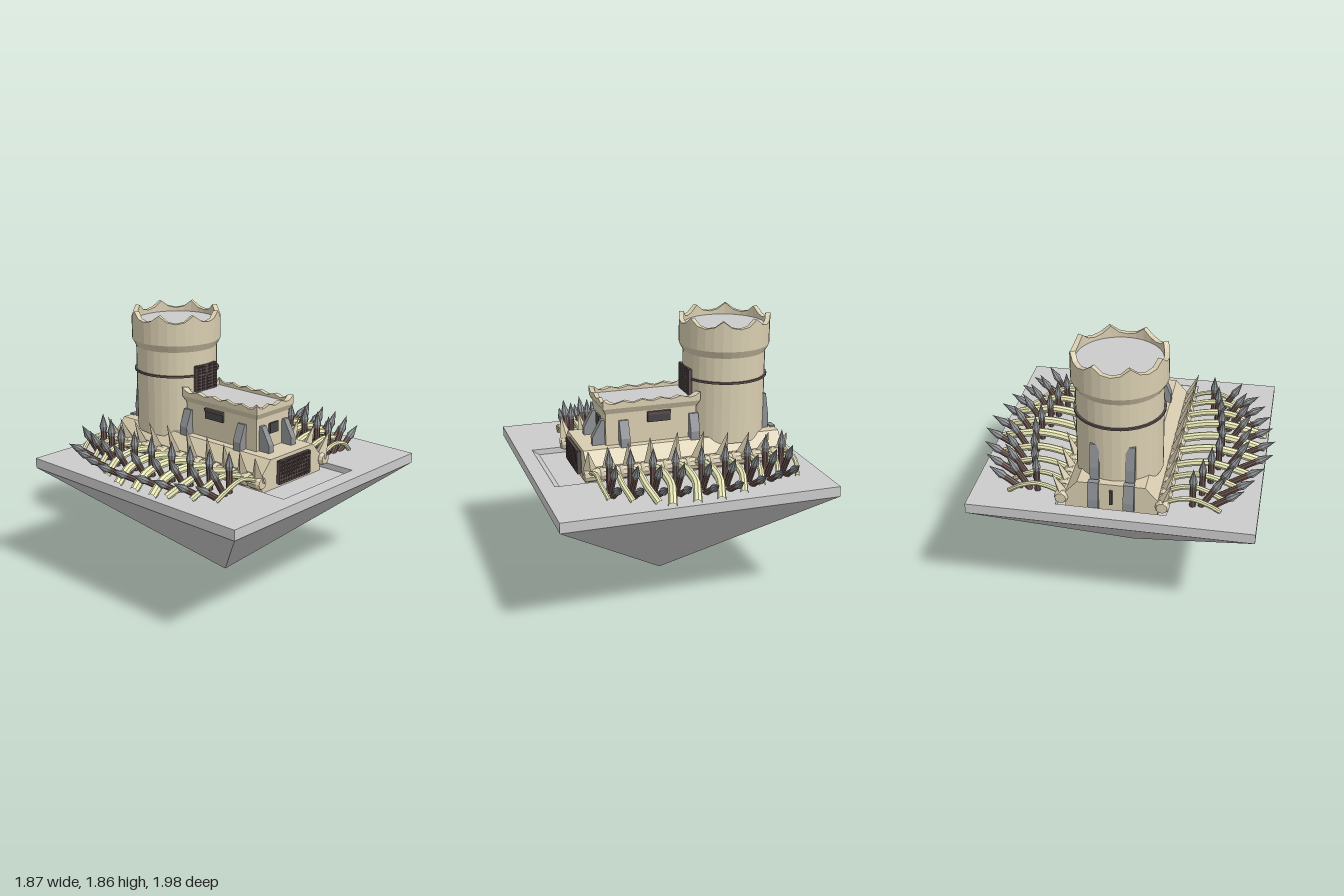
import * as THREE from 'three';

const mat = (color, extra = {}) => new THREE.MeshStandardMaterial({ color, flatShading: true, ...extra });
const GREY = mat(0xcccccc);
const STONE = mat(0xd8cdb0);
const STONE_OPEN = mat(0xd8cdb0, { side: THREE.DoubleSide });
const STEEL = mat(0x8e9194);
const WOOD = mat(0x6b5550);
const BONE = mat(0xe9e8b6);
const IRON = mat(0x5c4f4e);
const DARK = mat(0x454545);

const V = (x, y, z) => new THREE.Vector3(x, y, z);

export function createModel() {
  const model = new THREE.Group();

  const add = (name, geometry, material, x = 0, y = 0, z = 0, parent = model) => {
    const mesh = new THREE.Mesh(geometry, material);
    mesh.name = name;
    mesh.position.set(x, y, z);
    parent.add(mesh);
    return mesh;
  };
  // box given by its extents
  const box = (name, material, x0, x1, y0, y1, z0, z1, parent) =>
    add(name, new THREE.BoxGeometry(x1 - x0, y1 - y0, z1 - z0), material,
      (x0 + x1) / 2, (y0 + y1) / 2, (z0 + z1) / 2, parent);
  const polygon = (pts) => new THREE.Shape(pts.map(([x, y]) => new THREE.Vector2(x, y)));
  // prism with its profile in x-y, centred on z
  const prism = (pts, depth) => new THREE.ExtrudeGeometry(polygon(pts), { depth, bevelEnabled: false })
    .translate(0, 0, -depth / 2);
  const lathe = (pts, sides) => new THREE.LatheGeometry(pts.map(([r, y]) => new THREE.Vector2(r, y)), sides);
  // stands an upright mesh at one point, leaning toward another
  const aim = (mesh, from, to) => {
    mesh.position.copy(from);
    mesh.quaternion.setFromUnitVectors(V(0, 1, 0), to.clone().sub(from).normalize());
    return mesh;
  };

  // ground plate with a shallow pit, on an inverted pyramid
  const H = 0.933;
  const plate = polygon([[-H, -H], [H, -H], [H, H], [-H, H]]);
  plate.holes.push(polygon([[-0.83, -0.36], [-0.83, 0.36], [0.83, 0.36], [0.83, -0.36]]));
  const plateGeo = new THREE.ExtrudeGeometry(plate, { depth: 0.07, bevelEnabled: false });
  add('groundPlate', plateGeo.rotateX(-Math.PI / 2), GREY, 0, 0.8, 0);
  add('invertedPyramid', new THREE.ConeGeometry(H * Math.SQRT2, 0.8, 4).rotateY(Math.PI / 4).rotateX(Math.PI),
    GREY, 0, 0.4, 0);
  box('pitFloor', GREY, -0.83, 0.83, 0.8, 0.83, -0.36, 0.36);
  add('pitRamp', prism([[0.78, 0.83], [0.83, 0.83], [0.83, 0.869]], 0.72), GREY);

  // lower hull with sloping shoulders
  add('lowerHull', prism([[-0.3, 0.83], [0.3, 0.83], [0.3, 0.95], [0.22, 1.04], [-0.22, 1.04], [-0.3, 0.95]], 1.4)
    .rotateY(Math.PI / 2), STONE, -0.1, 0, 0);

  // round tower with a scalloped parapet
  const TX = -0.468;
  const towerGeo = lathe([[0.285, 1.0], [0.285, 1.6], [0.312, 1.65], [0.312, 1.8], [0.278, 1.8], [0.278, 1.74]], 32);
  const tp = towerGeo.attributes.position;
  for (let i = 0; i < tp.count; i++) {
    if (Math.abs(tp.getY(i) - 1.8) < 1e-4) {
      const ring = Math.floor(i / 6);
      tp.setY(i, 1.8 + [0, 0.012, 0.055, 0.012][ring % 4]);
    }
  }
  add('tower', towerGeo, STONE_OPEN, TX);
  add('towerRoof', new THREE.CylinderGeometry(0.28, 0.28, 0.03, 32), GREY, TX, 1.76, 0);
  add('towerBand', new THREE.CylinderGeometry(0.298, 0.298, 0.014, 32), IRON, TX, 1.43, 0);

  // upper hall: lofted rectangle with flared, wavy parapet
  const HX = 0.11, hallHalfX = 0.32, hallHalfZ = 0.165, NX = 20, NZ = 12;
  const loop = [];
  const wave = (k, n) => (k === 0 ? 0.032 : [0.018, 0.008, 0, 0.008][k % 4]);
  for (const [n, at] of [[NX, (t) => [-1 + 2 * t, 1]], [NZ, (t) => [1, 1 - 2 * t]],
    [NX, (t) => [1 - 2 * t, -1]], [NZ, (t) => [-1, -1 + 2 * t]]]) {
    for (let k = 0; k < n; k++) loop.push([...at(k / n), wave(k, n)]);
  }
  const rings = [[0, 1.0, 0], [0, 1.26, 0], [0.021, 1.3, 0], [0.021, 1.33, 1], [-0.008, 1.33, 1], [-0.008, 1.3, 0]];
  const pos = [], idx = [], N = loop.length;
  rings.forEach(([o, y, w], r) => loop.forEach(([u, v, h], k) => {
    pos.push(HX + u * (hallHalfX + o), y + w * h, v * (hallHalfZ + o));
    if (r < rings.length - 1) {
      const a = r * N + k, b = r * N + (k + 1) % N;
      idx.push(a, b, b + N, a, b + N, a + N);
    }
  }));
  const hallGeo = new THREE.BufferGeometry();
  hallGeo.setAttribute('position', new THREE.Float32BufferAttribute(pos, 3));
  hallGeo.setIndex(idx);
  hallGeo.computeVertexNormals();
  add('upperHall', hallGeo, STONE_OPEN);
  box('hallRoof', GREY, HX - 0.315, HX + 0.315, 1.29, 1.315, -0.16, 0.16);

  // slit windows
  for (const s of [1, -1]) {
    add('sideWindow', new THREE.BoxGeometry(0.16, 0.07, 0.03), DARK, 0.06, 1.215, s * 0.165);
    add('windowHood', new THREE.BoxGeometry(0.165, 0.02, 0.04), IRON, 0.06, 1.243, s * 0.168);
  }
  box('endWindow', DARK, 0.42, 0.445, 1.14, 1.21, -0.042, 0.042);
  box('rearSlit', DARK, -0.82, -0.79, 0.9, 1.0, -0.01, 0.01);

  // steel buttresses with sloped fronts, pointing outward along the given turn
  const buttress = (x, z, turn, width, y0, y1, out) => {
    const geo = prism([[-0.03, y0], [out, y0], [out, y0 + (y1 - y0) * 0.45], [out * 0.25, y1], [-0.03, y1]], width);
    add('buttress', geo, STEEL, x, 0, z).rotation.y = turn;
  };
  for (const s of [1, -1]) {
    for (const x of [-0.187, 0.308]) buttress(x, s * 0.165, -s * Math.PI / 2, 0.065, 1.0, 1.21, 0.06);
    buttress(0.43, s * 0.115, 0, 0.045, 1.0, 1.21, 0.085);
    buttress(-0.725, s * 0.115, Math.PI, 0.06, 1.0, 1.29, 0.03);
    buttress(-0.8, s * 0.115, Math.PI, 0.07, 0.83, 1.05, 0.03);
  }

  // lattice doors facing +x
  const lattice = (name, x, y0, y1, half, back, cols, rows) => {
    const g = new THREE.Group();
    g.name = name;
    model.add(g);
    box('panel', DARK, x - back, x - 0.014, y0, y1, -half, half, g);
    for (let i = 0; i <= cols; i++) {
      const z = -half + (2 * half * i) / cols;
      box('upright', IRON, x - 0.02, x, y0, y1, z - 0.006, z + 0.006, g);
    }
    for (let j = 0; j <= rows; j++) {
      const y = y0 + ((y1 - y0) * j) / rows;
      box('crossbar', IRON, x - 0.02, x - 0.002, y - 0.005, y + 0.005, -half, half, g);
    }
  };
  lattice('gate', 0.63, 0.86, 1.015, 0.155, 0.06, 12, 6);
  lattice('towerDoor', -0.175, 1.32, 1.495, 0.1, 0.1, 9, 8);

  // side rollers, fangs and curved ribs
  const ribX = [-0.765, -0.63, -0.485, -0.335, -0.16, 0, 0.165, 0.315, 0.455, 0.585];
  const reach = [0.69, 0.69, 0.77, 0.845, 0.91, 0.91, 0.91, 0.845, 0.77, 0.69];
  const ribR = [0.016, 0.018, 0.021, 0.025, 0.029, 0.029, 0.029, 0.025, 0.021, 0.016];
  const edge = (i) => (i === 0 ? -0.82 : i === 10 ? 0.628 : (ribX[i - 1] + ribX[i]) / 2);
  // pikes: shaft plus double-cone point
  const pikeX = [-0.695, -0.56, -0.415, -0.245, -0.08, 0.09, 0.235, 0.375, 0.505];
  const pikeZ = [0.51, 0.555, 0.595, 0.628, 0.63, 0.61, 0.588, 0.555, 0.512];
  const pike = (from, to, parent) => {
    const len = from.distanceTo(to), g = new THREE.Group();
    g.name = 'pike';
    add('shaft', new THREE.CylinderGeometry(0.021, 0.021, len - 0.1, 8), WOOD, 0, (len - 0.1) / 2, 0, g);
    add('point', lathe([[0, len - 0.135], [0.021, len - 0.125], [0.028, len - 0.095], [0, len]], 8), STEEL, 0, 0, 0, g);
    parent.add(aim(g, from, to));
  };

  for (const s of [1, -1]) {
    const side = new THREE.Group();
    side.name = s > 0 ? 'frontDefences' : 'backDefences';
    model.add(side);

    ribX.forEach((x, i) => {
      const half = (edge(i + 1) - edge(i)) / 2, mid = (edge(i + 1) + edge(i)) / 2;
      const bead = lathe([[0, -half], [0.036, -half], [0.047, -half + 0.02], [0.047, half - 0.02], [0.036, half], [0, half]], 10);
      add('roller', bead.rotateZ(-Math.PI / 2), STONE, mid, 0.91, s * 0.328, side);

      const tip = V(x + 0.025 * Math.sign(x), 1.17 - 0.12 * Math.abs(x), s * 0.385);
      const base = V(x, 0.92, s * 0.32), h = base.distanceTo(tip);
      const fang = new THREE.ConeGeometry(0.055, h, 4).translate(0, h / 2, 0).scale(1, 1, 0.65);
      side.add(aim(add('fang', fang, STONE, 0, 0, 0, side), base, tip));

      const L = reach[i] - 0.33, bend = (i < 7 ? 0.045 : -0.045) * (L / 0.58);
      const curve = new THREE.CatmullRomCurve3([[0, 0.92, 0], [0, 0.96, 0.28], [0, 0.97, 0.5], [0, 0.945, 0.74],
        [0.5, 0.91, 0.88], [1, 0.875, 1]].map(([b, y, t]) => V(x + b * bend, y, s * (0.33 + t * L))));
      add('rib', new THREE.TubeGeometry(curve, 12, ribR[i], 8), BONE, 0, 0, 0, side);
    });

    pikeX.forEach((x, i) => {
      const z = pikeZ[i];
      pike(V(x, 0.85, s * z), V(x, 1.15, s * z), side);
      pike(V(x + 0.01, 0.86, s * (z + 0.05)), V(x + 0.01, 1.11, s * (z + 0.2)), side);
      pike(V(x + 0.015, 0.86, s * (z + 0.11)), V(x + 0.015, 1.01, s * (z * 1.29 + 0.178)), side);
    });
  }
  return model;
}
